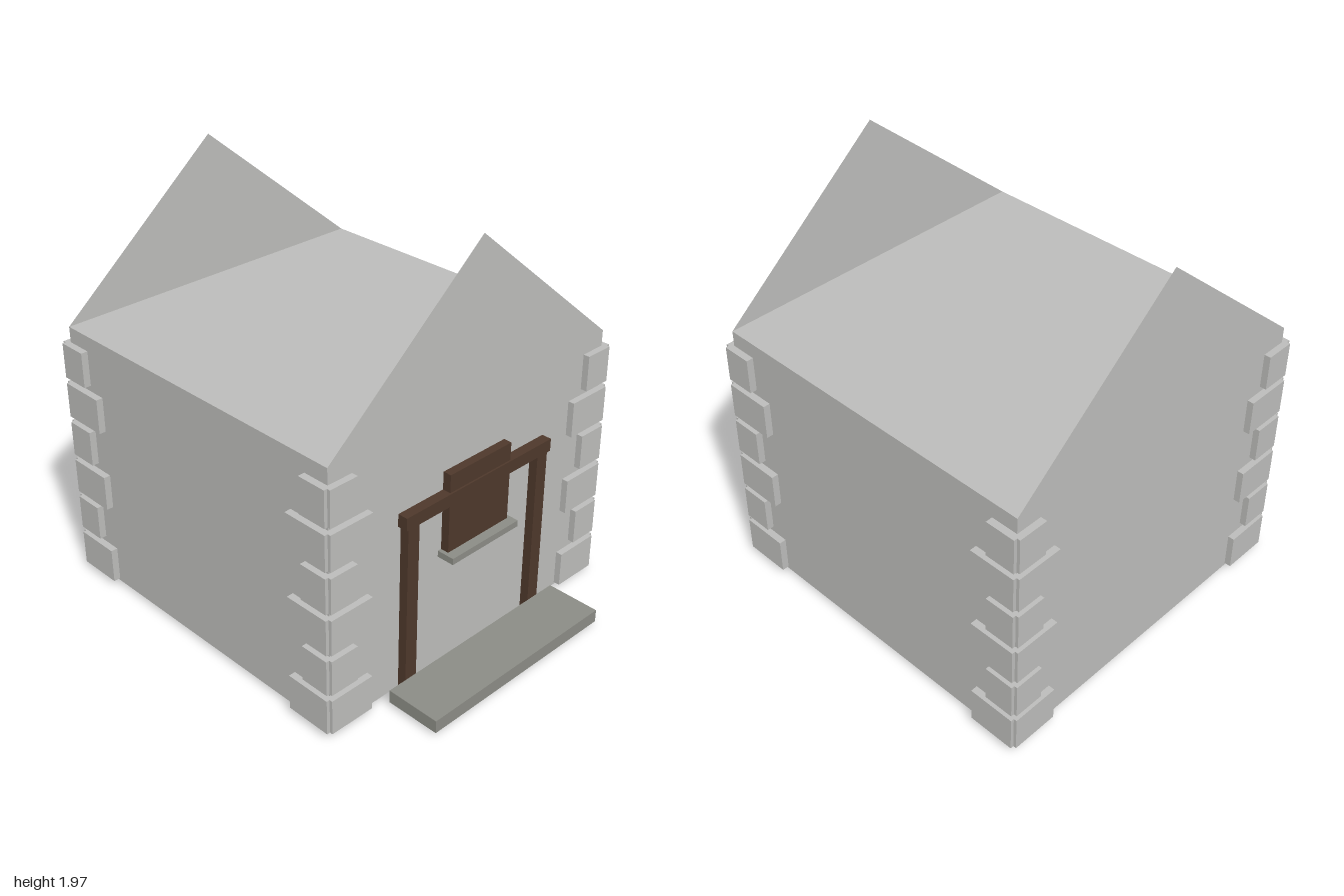
import * as THREE from 'three';

export function createModel() {
  const model = new THREE.Group();
  model.name = 'stoneHouse';

  const plaster = new THREE.MeshStandardMaterial({ color: 0xbcbcba });
  plaster.name = 'pale stone';
  const gableStone = new THREE.MeshStandardMaterial({ color: 0xbcbcba, side: THREE.DoubleSide });
  gableStone.name = 'pale stone sheet';
  const slab = new THREE.MeshStandardMaterial({ color: 0x8b8c85 });
  slab.name = 'grey slab';
  const wood = new THREE.MeshStandardMaterial({ color: 0x4e382b });
  wood.name = 'dark wood';

  // Box given by its two extreme corners
  function block(name, material, [x0, x1], [y0, y1], [z0, z1], parent = model) {
    const mesh = new THREE.Mesh(new THREE.BoxGeometry(x1 - x0, y1 - y0, z1 - z0), material);
    mesh.position.set((x0 + x1) / 2, (y0 + y1) / 2, (z0 + z1) / 2);
    mesh.name = name;
    parent.add(mesh);
    return mesh;
  }

  // Body with a flat top, and a thin gable sheet at each end
  const W = 0.827, FRONT = 0.69, BACK = -0.968, EAVE = 1.275;
  block('walls', plaster, [-W, W], [0.02, EAVE], [BACK, FRONT]);
  const triangle = new THREE.Shape([
    new THREE.Vector2(-W, EAVE), new THREE.Vector2(W, EAVE), new THREE.Vector2(0, 1.965),
  ]);
  for (const [name, z, turn] of [['frontGable', FRONT, 0], ['backGable', BACK, Math.PI]]) {
    const gable = new THREE.Mesh(new THREE.ShapeGeometry(triangle), gableStone);
    gable.name = name;
    gable.position.z = z;
    gable.rotation.y = turn;
    model.add(gable);
  }

  // Corner stones: alternating long and short pairs of plates
  const midZ = (FRONT + BACK) / 2;
  for (const sx of [-1, 1]) {
    for (const sz of [-1, 1]) {
      const corner = new THREE.Group();
      corner.name = (sz > 0 ? 'front' : 'back') + (sx > 0 ? 'Left' : 'Right') + 'CornerStones';
      corner.position.z = midZ;
      const span = (sign, a, b) => (sign > 0 ? [a, b] : [-b, -a]);
      const face = FRONT - midZ;
      for (let i = 0; i < 6; i++) {
        const y = [0.03 + i * 0.2, 0.2 + i * 0.2];
        const reach = i % 2 ? 0.127 : 0.21;
        block('endStone', plaster, span(sx, W - reach, W + 0.017), y,
          span(sz, face - 0.02, face + 0.031), corner);
        block('sideStone', plaster, span(sx, W - 0.02, W + 0.033), y,
          span(sz, face - reach, face + 0.016), corner);
      }
      model.add(corner);
    }
  }

  // Door frame
  for (const s of [-1, 1]) {
    block(s > 0 ? 'leftPost' : 'rightPost', wood,
      [s * 0.4 - 0.032, s * 0.4 + 0.032], [0, 0.84], [FRONT, 0.733]);
  }
  block('lintel', wood, [-0.447, 0.447], [0.84, 0.9], [FRONT - 0.005, 0.738]);

  // Shutter with its sill
  block('shutter', wood, [-0.187, 0.187], [0.608, 0.985], [FRONT - 0.005, 0.73]);
  block('sill', slab, [-0.206, 0.206], [0.578, 0.608], [FRONT - 0.005, 0.775]);

  // Doorstep
  block('doorstep', slab, [-0.529, 0.529], [0.018, 0.08], [0.735, 1]);

  return model;
}
